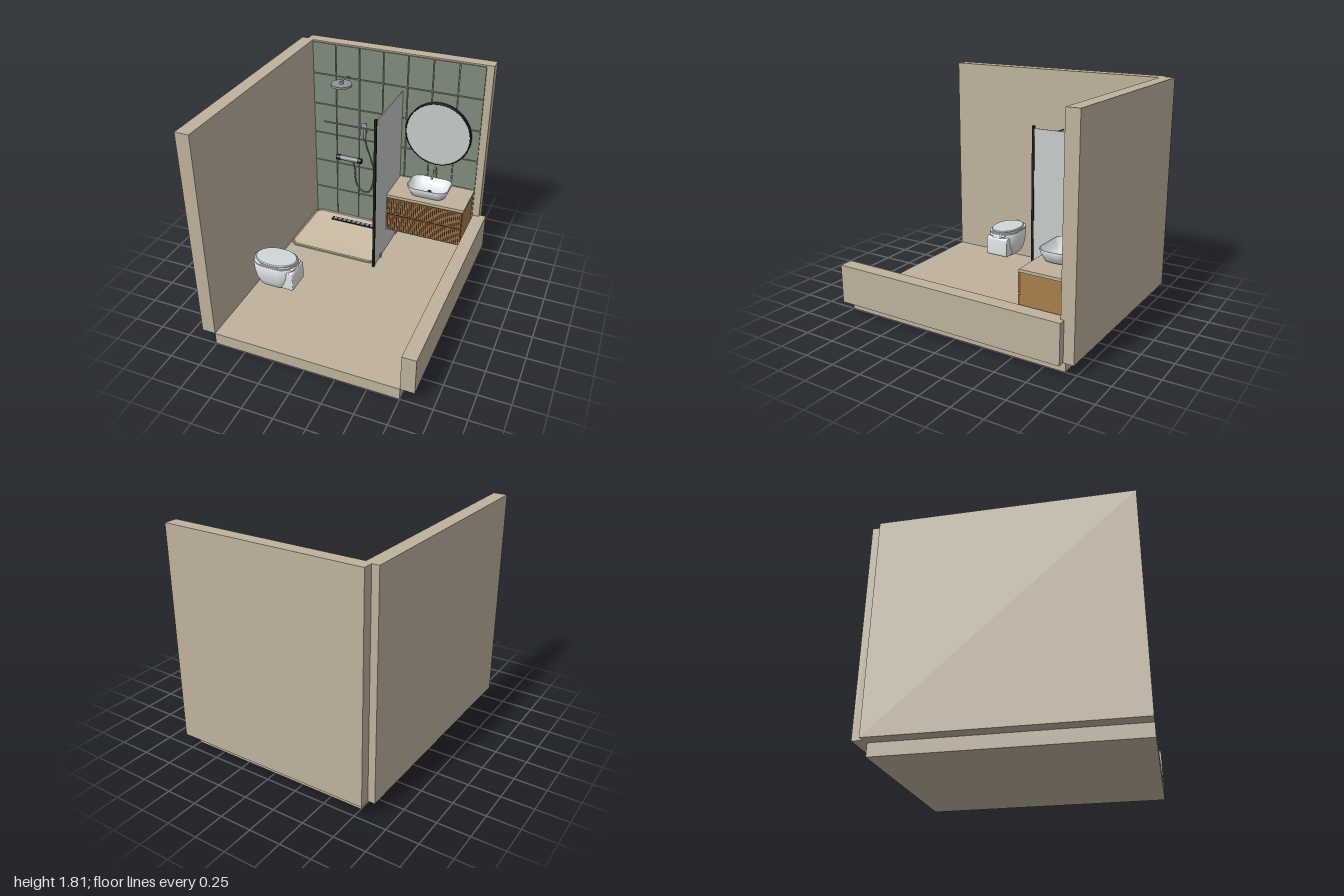
import * as THREE from 'three';
import { toCreasedNormals } from 'three/addons/utils/BufferGeometryUtils.js';
import { RoundedBoxGeometry } from 'three/addons/geometries/RoundedBoxGeometry.js';

function material(name, color) {
  const m = new THREE.MeshStandardMaterial({ color });
  m.name = name;
  return m;
}

const stone = material('beige stone', 0xbfb29d);
const trayStone = material('light stone', 0xcdbfa7);
const green = material('green tile', 0x7f8c7c);
const wood = material('oak', 0xa87d4d);
const darkWood = material('dark oak', 0x5e4328);
const white = material('white ceramic', 0xe0e4e6);
const lidWhite = material('lid white', 0xcfd7d9);
const glass = material('pale glass', 0xc6cbca);
const chrome = material('brushed metal', 0x8d9297);
const black = material('black metal', 0x1d1f21);

export function createModel() {
  const model = new THREE.Group();
  model.name = 'bathroom';

  function group(name) {
    const g = new THREE.Group();
    g.name = name;
    model.add(g);
    return g;
  }
  function add(parent, name, geo, mat, x = 0, y = 0, z = 0) {
    const mesh = new THREE.Mesh(geo, mat);
    mesh.name = name;
    mesh.position.set(x, y, z);
    parent.add(mesh);
    return mesh;
  }
  // box given by its limits on each axis
  function box(parent, name, mat, x0, x1, y0, y1, z0, z1) {
    return add(parent, name, new THREE.BoxGeometry(x1 - x0, y1 - y0, z1 - z0), mat,
      (x0 + x1) / 2, (y0 + y1) / 2, (z0 + z1) / 2);
  }
  function tube(parent, name, mat, points, r, seg = 40) {
    const curve = new THREE.CatmullRomCurve3(points.map(p => new THREE.Vector3(...p)));
    return add(parent, name, new THREE.TubeGeometry(curve, seg, r, 10), mat);
  }
  // skin over rounded rectangles: [y, cx, cz, halfX, halfZ, cornerX, cornerZ]
  function loft(sections, crease = 0.6) {
    const pos = [], index = [], steps = 10, n = 4 * (steps + 1);
    for (const [y, cx, cz, hx, hz, rx, rz] of sections)
      for (let q = 0; q < 4; q++)
        for (let k = 0; k <= steps; k++) {
          const a = (q + k / steps) * Math.PI / 2;
          const sx = q === 0 || q === 3 ? 1 : -1, sz = q < 2 ? 1 : -1;
          pos.push(cx + sx * (hx - rx) + rx * Math.cos(a), y, cz + sz * (hz - rz) + rz * Math.sin(a));
        }
    for (let i = 0; i < sections.length - 1; i++)
      for (let j = 0; j < n; j++) {
        const a = i * n + j, b = i * n + (j + 1) % n;
        index.push(a, a + n, b, b, a + n, b + n);
      }
    const g = new THREE.BufferGeometry();
    g.setAttribute('position', new THREE.Float32BufferAttribute(pos, 3));
    g.setIndex(index);
    return toCreasedNormals(g, crease);
  }

  // Room shell
  const room = group('room');
  box(room, 'floor', stone, -0.755, 0.75, 0, 0.1, -0.91, 1);
  box(room, 'backWall', stone, -0.81, 0.805, 0.1, 1.81, -1, -0.895);
  box(room, 'leftHandWall', stone, -0.865, -0.755, 0.1, 1.81, -0.92, 1);
  box(room, 'lowWall', stone, 0.75, 0.86, 0.1, 0.41, -0.92, 1);

  // Wall tiles
  const tiles = group('wallTiles');
  for (let c = 0; c < 7; c++)
    for (let r = 0; r < 6; r++) {
      const x = -0.755 + c * 0.215, y = 0.107 + r * 0.2825;
      box(tiles, 'tile', green, x + 0.004, Math.min(x + 0.211, 0.745), y + 0.004, y + 0.2785, -0.897, -0.882);
    }

  // Shower tray sloping to its middle, and the slotted drain
  const shower = group('shower');
  const tx = -0.345, tz = -0.578;
  add(shower, 'tray', loft([
    [0.1, tx, tz, 0.4, 0.297, 0.06, 0.06],
    [0.122, tx, tz, 0.409, 0.306, 0.07, 0.07],
    [0.13, tx, tz, 0.404, 0.301, 0.065, 0.065],
    [0.13, tx, tz, 0.395, 0.292, 0.056, 0.056],
    [0.124, tx, tz, 0.388, 0.285, 0.05, 0.05],
    [0.103, tx, tz, 0, 0, 0, 0],
  ], 0.4), trayStone);
  box(shower, 'drainFrame', black, -0.557, -0.13, 0.108, 0.126, -0.808, -0.764);
  for (let i = 0; i < 9; i++) {
    const x = -0.537 + i * 0.0455;
    box(shower, 'drainBar', chrome, x, x + 0.028, 0.12, 0.128, -0.802, -0.77);
  }

  // Glass screen with post, brace rail and feet
  const screen = group('showerScreen');
  box(screen, 'glassPanel', glass, 0.06, 0.068, 0.1, 1.485, -0.88, -0.255);
  box(screen, 'post', black, 0.055, 0.073, 0.1, 1.505, -0.264, -0.244);
  box(screen, 'braceRail', chrome, -0.38, 0.06, 1.396, 1.406, -0.276, -0.266);
  for (const z of [-0.4, -0.8]) box(screen, 'foot', chrome, 0.052, 0.078, 0.1, 0.135, z - 0.013, z + 0.013);

  // Overhead shower
  add(shower, 'rainHead', new THREE.CylinderGeometry(0.088, 0.09, 0.017, 48), chrome, -0.413, 1.536, -0.7);
  add(shower, 'headJoint', new THREE.CylinderGeometry(0.012, 0.018, 0.022, 20), chrome, -0.413, 1.552, -0.7);
  tube(shower, 'headArm', chrome, [[-0.413, 1.555, -0.7], [-0.413, 1.566, -0.725], [-0.413, 1.566, -0.78],
    [-0.413, 1.55, -0.84], [-0.413, 1.52, -0.885]], 0.008);

  // Mixer bar with end knobs
  const knob = (name, mat, r, len, x) =>
    add(shower, name, new THREE.CylinderGeometry(r, r, len, 28), mat, x, 0.745, -0.863).rotation.z = Math.PI / 2;
  knob('mixerBody', chrome, 0.021, 0.17, -0.415);
  knob('mixerKnob', black, 0.024, 0.036, -0.517);
  knob('mixerKnob', black, 0.024, 0.036, -0.313);

  // Hand shower and hose
  const hand = add(shower, 'handHead', new THREE.CylinderGeometry(0.028, 0.024, 0.016, 28), chrome, -0.262, 1.118, -0.84);
  hand.rotation.x = Math.PI / 2 - 0.15;
  add(shower, 'handNeck', new THREE.CylinderGeometry(0.008, 0.008, 0.05, 14), chrome, -0.262, 1.09, -0.852);
  add(shower, 'handHandle', new THREE.CylinderGeometry(0.013, 0.011, 0.1, 18), chrome, -0.262, 1.035, -0.855);
  box(shower, 'handBracket', chrome, -0.272, -0.252, 1.03, 1.06, -0.885, -0.86);
  tube(shower, 'hose', chrome, [[-0.262, 0.99, -0.855], [-0.245, 0.92, -0.85], [-0.2, 0.8, -0.845], [-0.17, 0.68, -0.845],
    [-0.18, 0.54, -0.845], [-0.215, 0.455, -0.85], [-0.27, 0.437, -0.855], [-0.33, 0.48, -0.86],
    [-0.355, 0.56, -0.865], [-0.358, 0.64, -0.865], [-0.38, 0.73, -0.865]], 0.006, 90);

  // Vanity: carcass, two slatted drawers and counter
  const vanity = group('vanity');
  box(vanity, 'carcass', wood, 0.068, 0.735, 0.308, 0.645, -0.88, -0.545);
  box(vanity, 'drawerGap', black, 0.075, 0.728, 0.474, 0.486, -0.546, -0.54);
  for (const [y0, y1] of [[0.322, 0.474], [0.487, 0.637]]) {
    box(vanity, 'drawerFront', darkWood, 0.072, 0.731, y0, y1, -0.546, -0.536);
    for (const y of [y0, y1 - 0.007]) box(vanity, 'drawerEdge', wood, 0.07, 0.733, y, y + 0.007, -0.546, -0.529);
    for (let i = 0; i < 40; i++) {
      const x = 0.072 + i * 0.01665;
      box(vanity, 'slat', wood, x, x + 0.0098, y0, y1, -0.537, -0.526);
    }
  }
  box(vanity, 'counter', stone, 0.05, 0.745, 0.645, 0.667, -0.882, -0.538);

  // Basin
  const bx = 0.396, bz = -0.694;
  add(vanity, 'basin', loft([
    [0.667, bx, bz, 0, 0, 0, 0],
    [0.667, bx, bz, 0.135, 0.085, 0.06, 0.06],
    [0.675, bx, bz, 0.15, 0.097, 0.07, 0.07],
    [0.72, bx, bz, 0.17, 0.117, 0.08, 0.08],
    [0.756, bx, bz, 0.183, 0.13, 0.09, 0.085],
    [0.761, bx, bz, 0.181, 0.128, 0.088, 0.083],
    [0.761, bx, bz, 0.175, 0.122, 0.082, 0.077],
    [0.755, bx, bz, 0.171, 0.118, 0.08, 0.075],
    [0.71, bx, bz, 0.152, 0.1, 0.08, 0.07],
    [0.686, bx, bz, 0.115, 0.068, 0.07, 0.06],
    [0.68, bx, bz, 0, 0, 0, 0],
  ], 0.9), white);
  add(vanity, 'basinDrain', new THREE.CylinderGeometry(0.021, 0.021, 0.008, 28), chrome, bx, 0.684, -0.7);
  add(vanity, 'drainPlug', new THREE.CylinderGeometry(0.013, 0.013, 0.006, 24), black, bx, 0.687, -0.7);

  // Tap
  add(vanity, 'tapBody', new THREE.CylinderGeometry(0.014, 0.014, 0.155, 24), chrome, bx, 0.744, -0.852);
  tube(vanity, 'tapSpout', chrome, [[bx, 0.788, -0.852], [bx, 0.798, -0.81], [bx, 0.796, -0.765], [bx, 0.775, -0.745]], 0.009);
  box(vanity, 'tapLever', chrome, bx - 0.007, bx + 0.007, 0.828, 0.835, -0.865, -0.8);
  add(vanity, 'tapCap', new THREE.CylinderGeometry(0.012, 0.012, 0.012, 24), chrome, bx, 0.826, -0.852);

  // Round mirror
  const mirror = group('mirror');
  mirror.position.set(bx, 1.152, 0);
  add(mirror, 'mirrorBack', new THREE.CylinderGeometry(0.285, 0.285, 0.026, 72), black, 0, 0, -0.868).rotation.x = Math.PI / 2;
  add(mirror, 'mirrorGlass', new THREE.CylinderGeometry(0.277, 0.277, 0.006, 72), glass, 0, 0, -0.853).rotation.x = Math.PI / 2;
  add(mirror, 'mirrorRim', new THREE.TorusGeometry(0.28, 0.006, 8, 72), black, 0, 0, -0.853);

  // Wall-hung toilet
  const toilet = group('toilet');
  const cx = -0.547, cz = 0.347;
  add(toilet, 'bowl', loft([
    [0.2, cx, cz, 0, 0, 0, 0],
    [0.2, cx, cz, 0.135, 0.08, 0.1, 0.08],
    [0.21, cx, cz, 0.15, 0.092, 0.11, 0.092],
    [0.26, cx, cz, 0.172, 0.112, 0.12, 0.112],
    [0.32, cx, cz, 0.183, 0.123, 0.13, 0.118],
    [0.405, cx, cz, 0.187, 0.128, 0.13, 0.12],
    [0.412, cx, cz, 0.183, 0.124, 0.13, 0.118],
    [0.412, cx, cz, 0, 0, 0, 0],
  ], 0.8), white);
  add(toilet, 'seat', loft([
    [0.412, cx, cz, 0.178, 0.118, 0.14, 0.115],
    [0.417, cx, cz, 0.186, 0.127, 0.14, 0.122],
    [0.427, cx, cz, 0.186, 0.127, 0.14, 0.122],
    [0.431, cx, cz, 0.181, 0.122, 0.138, 0.118],
    [0.431, cx, cz, 0, 0, 0, 0],
  ]), white);
  add(toilet, 'lid', loft([
    [0.43, cx + 0.005, cz, 0.175, 0.118, 0.16, 0.118],
    [0.438, cx + 0.005, cz, 0.177, 0.12, 0.162, 0.12],
    [0.445, cx + 0.005, cz, 0.17, 0.113, 0.155, 0.113],
    [0.447, cx + 0.005, cz, 0, 0, 0, 0],
  ]), lidWhite);

  // Rounded housing behind the bowl
  const side = new THREE.Shape();
  side.moveTo(-0.44, 0.228);
  side.lineTo(-0.375, 0.226);
  side.quadraticCurveTo(-0.36, 0.226, -0.36, 0.245);
  side.lineTo(-0.362, 0.365);
  side.quadraticCurveTo(-0.364, 0.38, -0.385, 0.38);
  side.lineTo(-0.41, 0.38);
  side.quadraticCurveTo(-0.418, 0.3, -0.452, 0.25);
  side.quadraticCurveTo(-0.46, 0.23, -0.44, 0.228);
  const housing = new THREE.ExtrudeGeometry(side, {
    depth: 0.18, bevelEnabled: true, bevelSize: 0.007, bevelThickness: 0.01, bevelSegments: 4, curveSegments: 8,
  });
  add(toilet, 'housing', toCreasedNormals(housing, 0.6), white, 0, 0, cz - 0.09);
  add(toilet, 'hingeBlock', new RoundedBoxGeometry(0.03, 0.02, 0.15, 3, 0.008), white, -0.376, 0.405, cz);

  return model;
}
